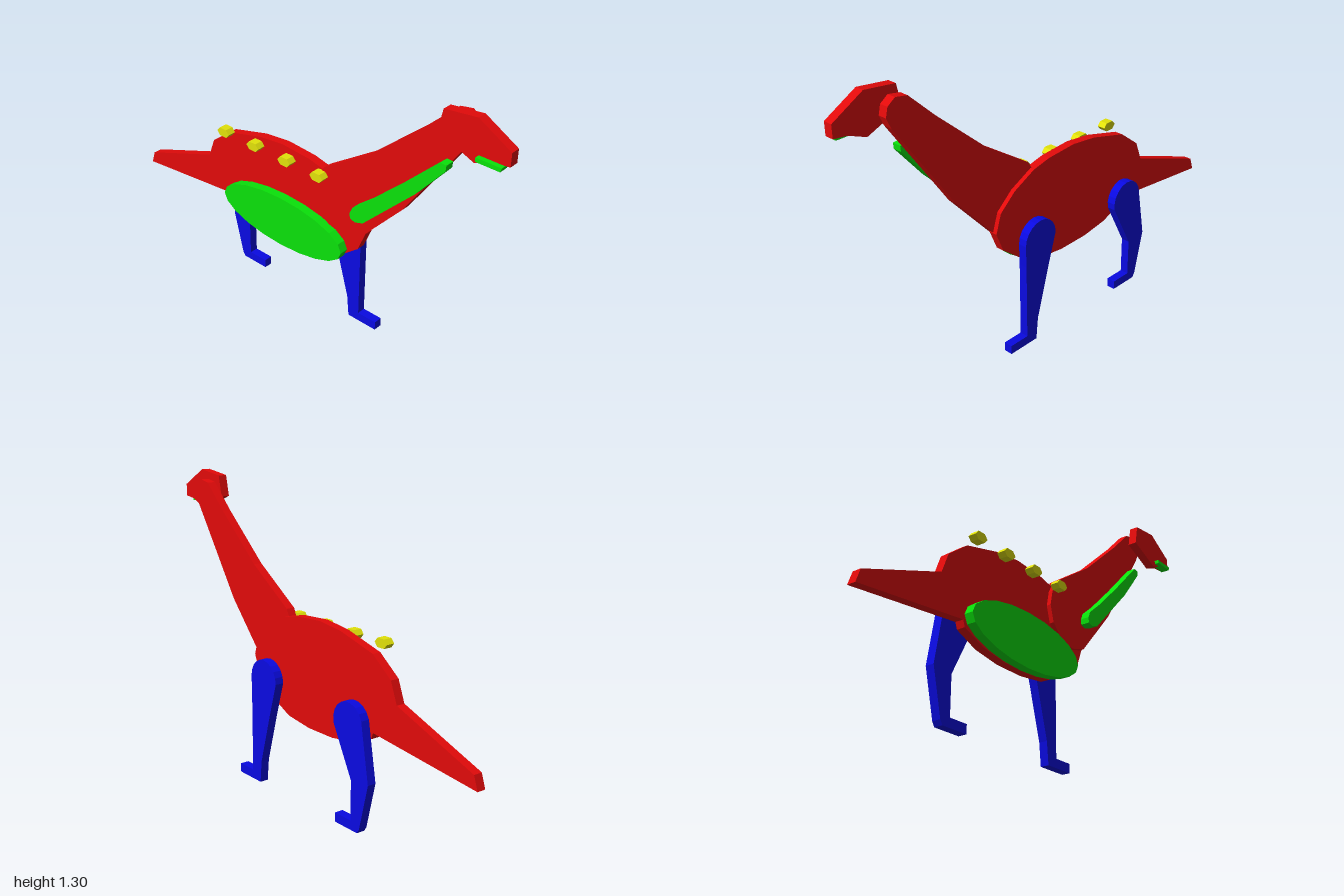
import * as THREE from 'three';

const mat = (name, color) => {
  const m = new THREE.MeshStandardMaterial({ color });
  m.name = name;
  return m;
};

// Points on an arc, angles in degrees
function arc(cx, cy, rx, ry, from, to, steps) {
  const pts = [];
  for (let i = 0; i <= steps; i++) {
    const a = THREE.MathUtils.degToRad(from + (to - from) * i / steps);
    pts.push([cx + rx * Math.cos(a), cy + ry * Math.sin(a)]);
  }
  return pts;
}

export function createModel() {
  const group = new THREE.Group();
  const red = mat('red', 0xe20a0a);
  const green = mat('green', 0x0ae20a);
  const blue = mat('blue', 0x0a0ae2);
  const yellow = mat('yellow', 0xe2e20a);

  // Flat cut-out plate spanning z0..z1
  function plate(name, points, z0, z1, material) {
    const shape = new THREE.Shape(points.map(([x, y]) => new THREE.Vector2(x, y)));
    const geo = new THREE.ExtrudeGeometry(shape, { depth: z1 - z0, bevelEnabled: false });
    const mesh = new THREE.Mesh(geo, material);
    mesh.name = name;
    mesh.position.z = z0;
    group.add(mesh);
  }

  // Body and tail in one piece
  plate('bodyAndTail', [
    [-1, 0.34], [-0.45, 0.398], [-0.44, 0.37], [-0.33, 0.325], [-0.2, 0.305], [-0.05, 0.303],
    [0.09, 0.32], [0.2, 0.37], [0.3, 0.45], [0.337, 0.54], [0.31, 0.625], [0.23, 0.695],
    [0.12, 0.75], [0.03, 0.77], [-0.12, 0.78], [-0.25, 0.765], [-0.44, 0.715],
    [-0.545, 0.635], [-0.58, 0.545], [-0.98, 0.398],
  ], -0.03, 0.009, red);

  // Neck, rounded at both ends
  plate('neck', [
    [0.13, 0.78], [0.095, 0.72], [0.08, 0.65], [0.1, 0.575], [0.155, 0.52], [0.235, 0.5],
    [0.32, 0.525], [0.527, 0.754], [0.66, 0.95], [0.8, 1.155], [0.82, 1.2], [0.81, 1.24],
    [0.775, 1.265], [0.72, 1.255], [0.6, 1.14], [0.365, 0.935],
  ], -0.01, 0.029, red);

  plate('head', [
    [0.7, 1.19], [0.86, 1.125], [0.94, 1.158], [1, 1.165], [1, 1.22], [0.86, 1.3], [0.72, 1.283],
  ], 0.05, 0.09, red);

  plate('mouth', [[0.875, 1.145], [0.975, 1.145], [0.98, 1.162], [0.875, 1.162]], 0.07, 0.11, green);

  // Throat stripe and belly patch
  plate('throatStripe', [
    [0.303, 0.66], [0.305, 0.635], [0.33, 0.627], [0.37, 0.64], [0.61, 0.88], [0.735, 1.03],
    [0.737, 1.055], [0.71, 1.057], [0.53, 0.88], [0.39, 0.75], [0.317, 0.69],
  ], 0.03, 0.07, green);
  plate('belly', arc(-0.1, 0.422, 0.345, 0.12, 0, 342, 19), 0.01, 0.05, green);

  // Legs with rounded hips
  plate('frontLeg', [
    [0.195, 0], [0.345, 0], [0.345, 0.04], [0.25, 0.04], [0.25, 0.38],
    ...arc(0.164, 0.477, 0.088, 0.088, 0, 180, 10), [0.12, 0.33], [0.185, 0.1],
  ], -0.11, -0.071, blue);
  plate('rearLeg', [
    [-0.455, 0], [-0.32, 0], [-0.32, 0.04], [-0.415, 0.04], [-0.415, 0.21], [-0.35, 0.335],
    ...arc(-0.39, 0.44, 0.086, 0.086, -15, 180, 10), [-0.515, 0.22], [-0.467, 0.02],
  ], -0.11, -0.071, blue);

  // Row of back studs
  [-0.421, -0.243, -0.062, 0.117].forEach((x, i) => plate('backStud' + (i + 1), [
    [x - 0.035, 0.743], [x - 0.019, 0.724], [x + 0.019, 0.724],
    [x + 0.035, 0.743], [x + 0.019, 0.762], [x - 0.019, 0.762],
  ], 0.027, 0.065, yellow));

  return group;
}
